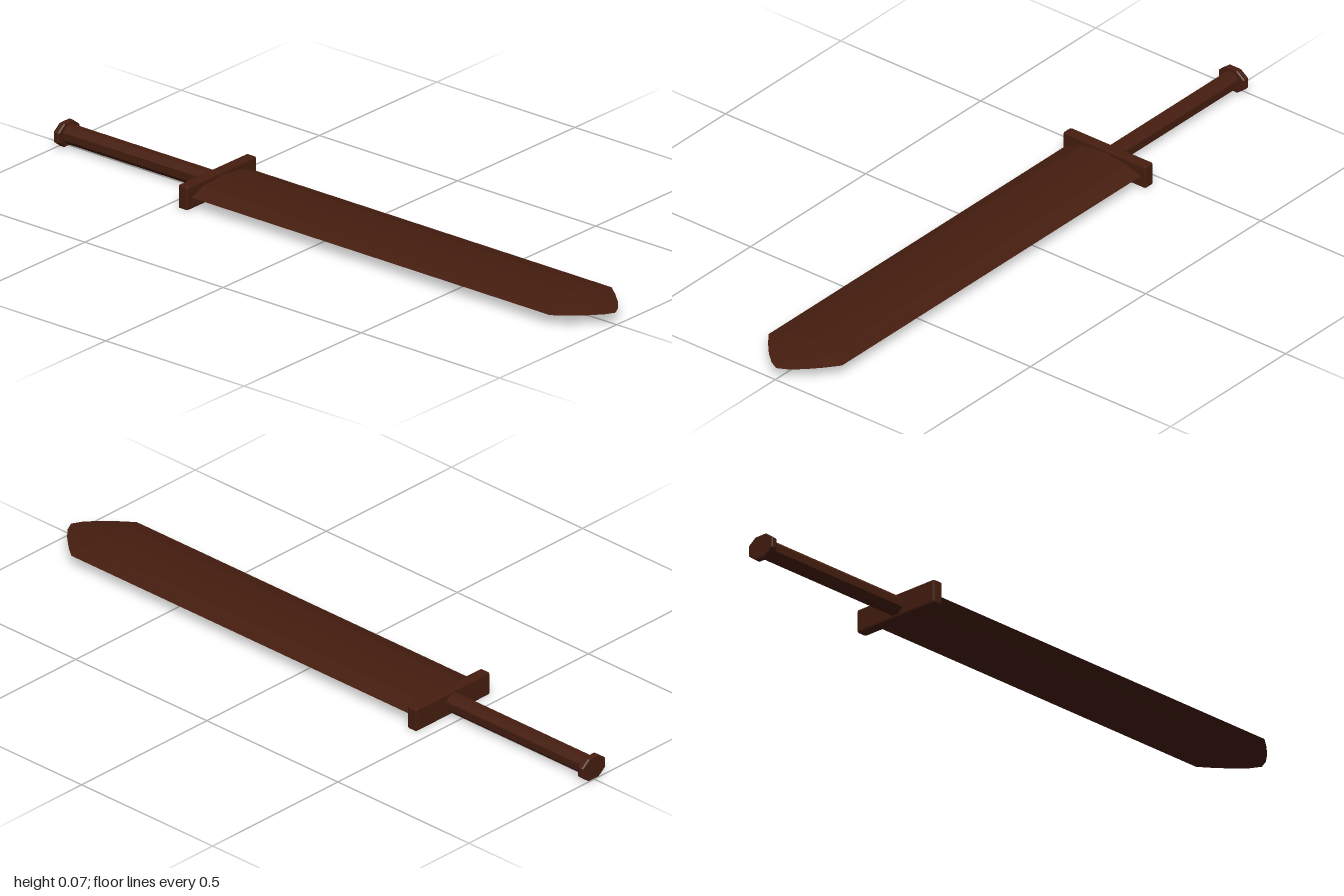
import * as THREE from 'three';
import { RoundedBoxGeometry } from 'three/addons/geometries/RoundedBoxGeometry.js';

const MID = 0.035; // height of the sword's long axis

// Lofts a lens-shaped cross-section through stations of [z, halfWidth, halfThickness]
function bladeGeometry(stations) {
  const section = [[1, 0], [0.6, 0.69], [0, 1], [-0.6, 0.69], [-1, 0], [-0.6, -0.69], [0, -1], [0.6, -0.69]];
  const n = section.length;
  const positions = [];
  const index = [];
  for (const [z, w, t] of stations) {
    for (const [x, y] of section) positions.push(x * w, y * t, z);
  }
  for (let i = 0; i < stations.length - 1; i++) {
    for (let j = 0; j < n; j++) {
      const a = i * n + j;
      const b = i * n + (j + 1) % n;
      index.push(a, b, b + n, a, b + n, a + n);
    }
  }
  // Close the base
  for (let j = 1; j < n - 1; j++) index.push(0, j + 1, j);
  const geometry = new THREE.BufferGeometry();
  geometry.setAttribute('position', new THREE.Float32BufferAttribute(positions, 3));
  geometry.setIndex(index);
  const flat = geometry.toNonIndexed();
  flat.computeVertexNormals();
  return flat;
}

export function createModel() {
  const sword = new THREE.Group();
  sword.name = 'sword';
  const wood = new THREE.MeshStandardMaterial({ color: 0x451d0f, flatShading: true });

  const add = (name, geometry, z) => {
    const mesh = new THREE.Mesh(geometry, wood);
    mesh.name = name;
    mesh.position.set(0, MID, z);
    sword.add(mesh);
    return mesh;
  };

  // Broad blade, thinning forward to a short curved point
  add('blade', bladeGeometry([
    [-0.44, 0.131, 0.027],
    [0.84, 0.131, 0.016],
    [0.87, 0.131, 0.0135],
    [0.91, 0.1, 0.009],
    [0.95, 0.064, 0.005],
    [0.98, 0.03, 0.002],
    [0.995, 0.001, 0.0005],
  ]), 0);

  // Crossguard with slightly softened edges
  add('crossguard', new RoundedBoxGeometry(0.295, 0.07, 0.034, 1, 0.005), -0.445);

  // Faceted grip
  const grip = new THREE.CylinderGeometry(0.029, 0.029, 0.535, 8, 1);
  grip.rotateY(Math.PI / 8).rotateX(Math.PI / 2);
  add('grip', grip, -0.7225);

  // Flat oval pommel with bevelled rims
  const rim = [[0, -0.01], [0.94, -0.01], [1, -0.006], [1, 0.006], [0.94, 0.01], [0, 0.01]];
  const pommel = new THREE.LatheGeometry(rim.map(([r, y]) => new THREE.Vector2(r, y)), 8);
  const fit = 1 / Math.cos(Math.PI / 8);
  pommel.rotateY(Math.PI / 8).rotateX(Math.PI / 2).scale(0.046 * fit, 0.035 * fit, 1);
  add('pommel', pommel, -0.99);

  return sword;
}
